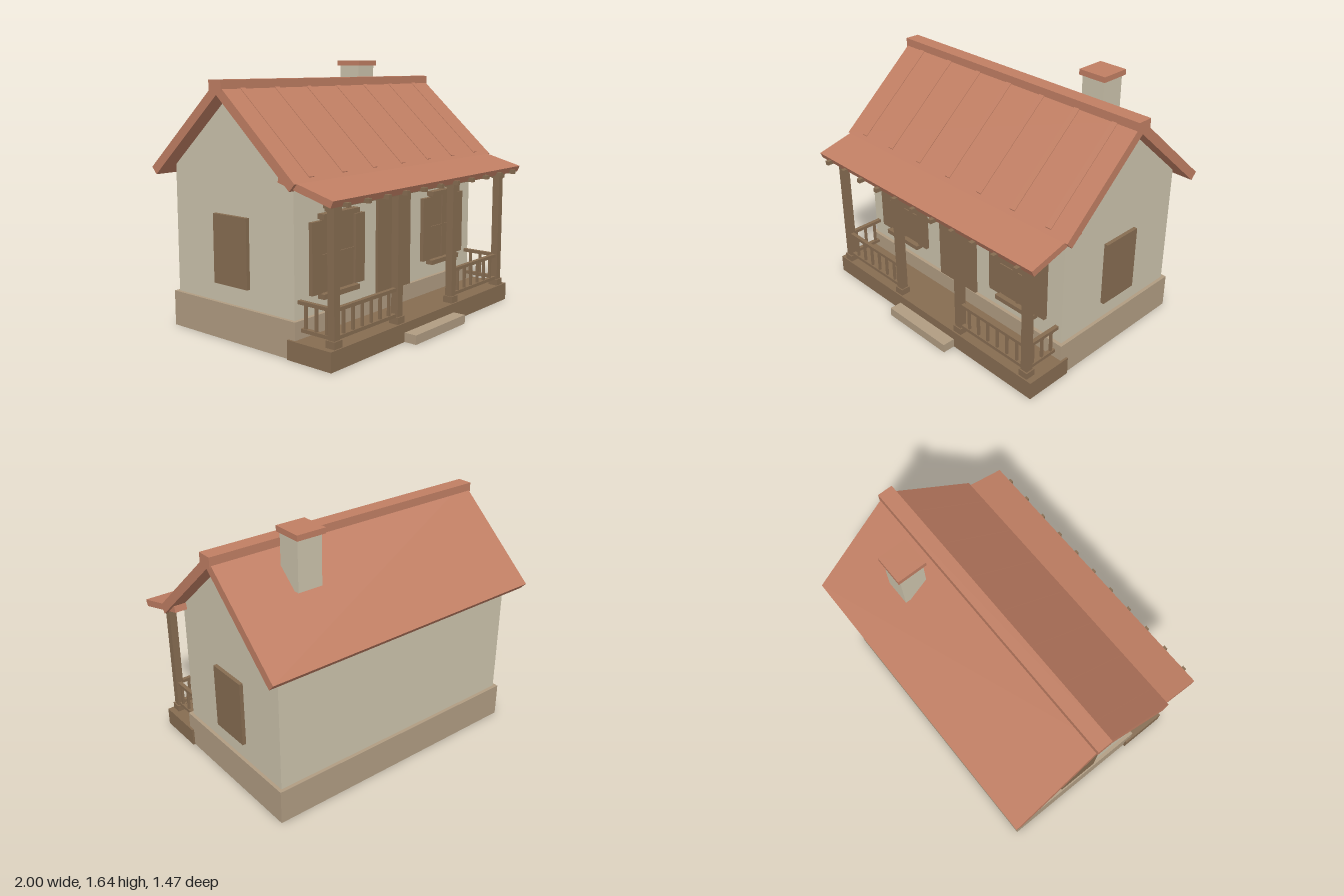
import * as THREE from 'three';

const mat = (name, color) => {
  const m = new THREE.MeshStandardMaterial({ color });
  m.name = name;
  return m;
};

export function createModel() {
  const house = new THREE.Group();
  house.name = 'house';
  const wall = mat('plaster', 0xcbc2ab);
  const roof = mat('terracotta', 0xc07e63);
  const stone = mat('stone', 0xb09c82);
  const wood = mat('wood', 0x866c51);

  const add = (name, geometry, material, parent = house) => {
    const mesh = new THREE.Mesh(geometry, material);
    mesh.name = name;
    parent.add(mesh);
    return mesh;
  };
  // Box given by its limits on each axis
  const box = (name, material, [x0, x1], [y0, y1], [z0, z1], parent) => {
    const g = new THREE.BoxGeometry(x1 - x0, y1 - y0, z1 - z0);
    g.translate((x0 + x1) / 2, (y0 + y1) / 2, (z0 + z1) / 2);
    return add(name, g, material, parent);
  };
  // Side profile of [z, y] points, extruded across the house
  const profile = (name, material, points, width, x = 0) => {
    const shape = new THREE.Shape(points.map(p => new THREE.Vector2(...p)));
    const g = new THREE.ExtrudeGeometry(shape, { depth: width, bevelEnabled: false });
    g.rotateY(-Math.PI / 2).translate(x + width / 2, 0, 0);
    return add(name, g, material);
  };
  const around = (c, w) => [c - w / 2, c + w / 2];

  // Body
  box('foundation', stone, [-0.912, 0.912], [0, 0.22], [-0.653, 0.38]);
  profile('walls', wall, [[-0.63, 0.2], [0.357, 0.2], [0.357, 1.015], [-0.137, 1.45], [-0.63, 1.015]], 1.78);

  // Main roof, ridge and seams
  profile('roof', roof, [[-0.137, 1.527], [-0.735, 1], [-0.696, 0.957], [-0.137, 1.45],
    [0.42, 0.957], [0.46, 1]], 1.98);
  box('ridgeCap', roof, [-1, 1], [1.47, 1.535], [-0.187, -0.087]);
  const roofY = z => 1.527 - 0.882 * (z + 0.137);
  for (let i = -3; i <= 3; i++) {
    profile('roofSeam', roof, [[-0.1, roofY(-0.1) - 0.01], [0.435, roofY(0.435) - 0.01],
      [0.438, roofY(0.438) + 0.005], [-0.1, roofY(-0.1) + 0.005]], 0.04, i * 0.277);
  }

  // Chimney
  box('chimney', wall, [0.433, 0.598], [1.297, 1.615], [-0.433, -0.27]);
  box('chimneyCap', roof, [0.418, 0.612], [1.61, 1.645], [-0.45, -0.255]);

  // Porch deck, step and roof
  box('porchDeck', wood, [-0.925, 0.925], [0, 0.115], [0.33, 0.652]);
  box('step', stone, [-0.265, 0.265], [0, 0.057], [0.6, 0.735]);
  profile('porchRoof', roof, [[0.691, 0.896], [0.709, 0.935], [0.326, 1.035], [0.317, 0.996]], 1.94);
  box('porchBeam', wood, [-0.905, 0.905], [0.878, 0.92], [0.583, 0.637]);
  for (let i = -5; i <= 5; i++) {
    box('rafterEnd', wood, around(i * 0.173, 0.027), [0.892, 0.918], [0.58, 0.73]);
  }

  // Posts with base and cap blocks
  const postZ = 0.61;
  for (const x of [-0.853, -0.287, 0.287, 0.853]) {
    const post = new THREE.Group();
    post.name = 'post';
    house.add(post);
    box('postShaft', wood, around(x, 0.048), [0.115, 0.88], around(postZ, 0.048), post);
    box('postBase', wood, around(x, 0.065), [0.115, 0.157], around(postZ, 0.065), post);
    box('postCap', wood, around(x, 0.065), [0.857, 0.89], around(postZ, 0.065), post);
  }

  // Door
  box('door', wood, [-0.168, 0.168], [0.22, 0.825], [0.35, 0.376]);
  box('doorLintel', wood, [-0.202, 0.202], [0.822, 0.86], [0.35, 0.405]);

  for (const s of [-1, 1]) {
    // Railings
    for (const y of [0.165, 0.321]) {
      box('frontRail', wood, around(s * 0.57, 0.54), around(y, 0.021), around(postZ, 0.026));
      box('sideRail', wood, around(s * 0.853, 0.026), around(y, 0.021), [0.357, 0.6]);
    }
    for (let i = 1; i <= 6; i++) {
      box('frontBaluster', wood, around(s * (0.287 + i * 0.081), 0.015), [0.16, 0.32], around(postZ, 0.015));
    }
    for (const z of [0.562, 0.485, 0.408]) {
      box('sideBaluster', wood, around(s * 0.853, 0.015), [0.16, 0.32], around(z, 0.015));
    }

    // Front window with bars, lintel, sill and shutters
    const c = s * 0.538;
    box('windowPanel', wood, around(c, 0.284), [0.33, 0.77], [0.35, 0.37]);
    box('windowUpright', wood, around(c, 0.016), [0.33, 0.77], [0.365, 0.377]);
    box('windowCrossbar', wood, around(c, 0.284), around(0.55, 0.016), [0.365, 0.377]);
    box('windowLintel', wood, around(c, 0.318), [0.765, 0.795], [0.35, 0.405]);
    box('windowSill', wood, around(c, 0.318), [0.305, 0.335], [0.35, 0.405]);
    for (const side of [-1, 1]) {
      box('shutter', wood, around(c + side * 0.19, 0.085), [0.337, 0.755], [0.35, 0.382]);
    }

    // Side window
    box('sideWindow', wood, around(s * 0.897, 0.034), [0.335, 0.755], [-0.275, 0.005]);
  }

  return house;
}
